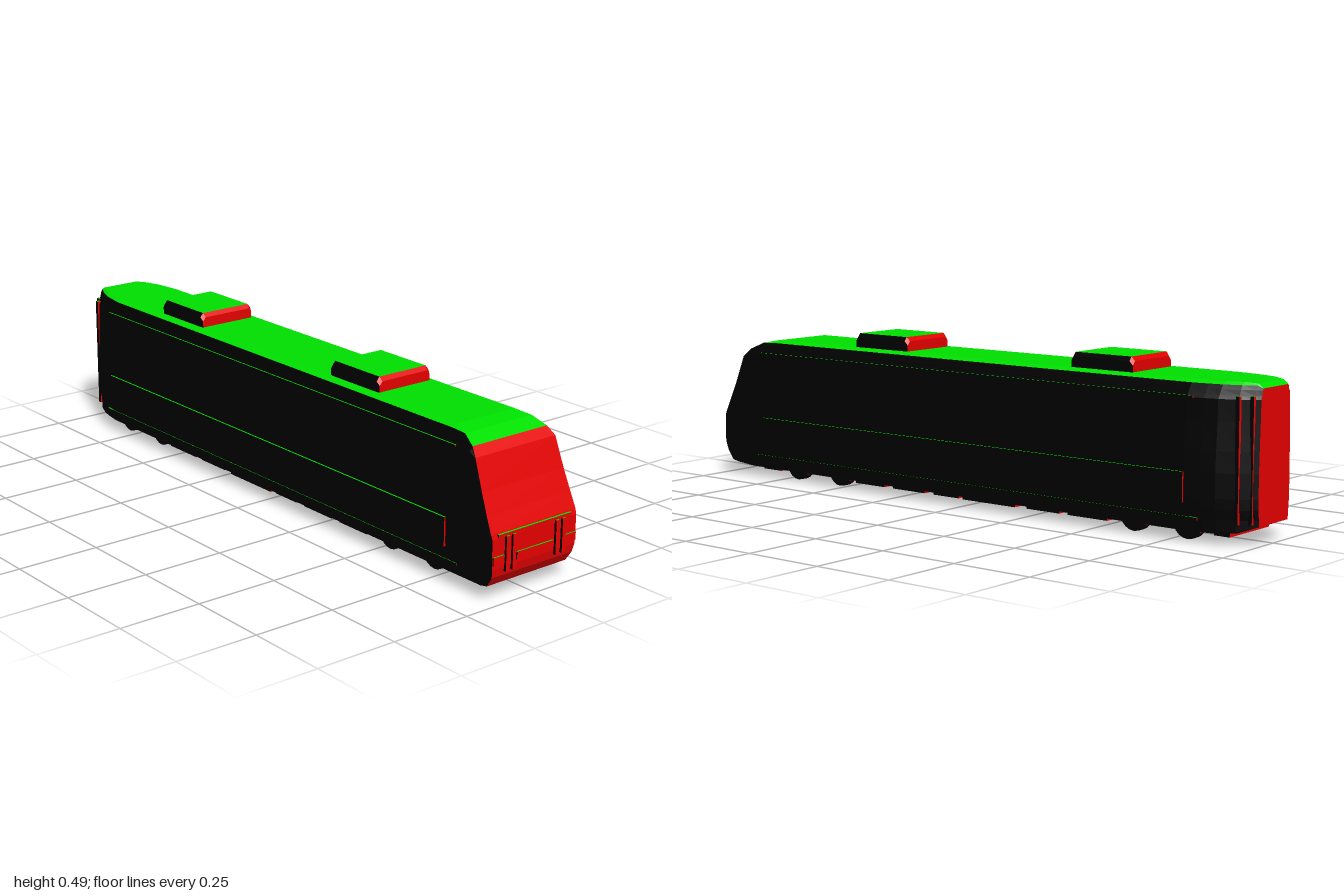
import * as THREE from 'three';

const mat = (name, color) => new THREE.MeshStandardMaterial({ name, color });

// half width of the hull at each height: [y, z]
const PROFILE = [
  [0.022, 0.125], [0.036, 0.135], [0.04, 0.147], [0.072, 0.149], [0.1, 0.155], [0.13, 0.157],
  [0.2, 0.157], [0.26, 0.154], [0.34, 0.149], [0.4, 0.147], [0.41, 0.139], [0.425, 0.131],
  [0.437, 0.121], [0.445, 0.106],
];

function halfWidth(y) {
  for (let i = 1; i < PROFILE.length; i++) {
    const [y0, z0] = PROFILE[i - 1], [y1, z1] = PROFILE[i];
    if (y <= y1) return z0 + (z1 - z0) * Math.max(0, (y - y0) / (y1 - y0));
  }
  return PROFILE[PROFILE.length - 1][1];
}

// hull section clipped between a floor and a top height
function hullRing(bottom, top, scale) {
  const left = PROFILE.map(([y]) => {
    const h = Math.min(top, Math.max(bottom, y));
    return [h, halfWidth(h) * scale];
  });
  return [...left, ...left.slice().reverse().map(([y, z]) => [y, -z])];
}

// skin over closed rings of [y, z] placed along x, with end caps
function loft(sections) {
  const pos = [];
  const n = sections[0].ring.length;
  const at = (i, j) => [sections[i].x, ...sections[i].ring[j % n]];
  for (let i = 0; i < sections.length - 1; i++) {
    for (let j = 0; j < n; j++) {
      const a = at(i, j), b = at(i, j + 1), c = at(i + 1, j + 1), d = at(i + 1, j);
      pos.push(...a, ...d, ...b, ...d, ...c, ...b);
    }
  }
  const last = sections.length - 1;
  for (const end of [0, last]) {
    const ys = sections[end].ring.map((p) => p[0]);
    const mid = [sections[end].x, (Math.min(...ys) + Math.max(...ys)) / 2, 0];
    for (let j = 0; j < n; j++) {
      const a = at(end, j), b = at(end, j + 1);
      if (end === 0) pos.push(...mid, ...a, ...b);
      else pos.push(...mid, ...b, ...a);
    }
  }
  const geo = new THREE.BufferGeometry();
  geo.setAttribute('position', new THREE.Float32BufferAttribute(pos, 3));
  return geo;
}

export function createModel() {
  const model = new THREE.Group();
  model.name = 'railCar';
  const materials = [mat('sideBlack', 0x000000), mat('endRed', 0xe60000), mat('roofGreen', 0x00e000)];

  // each face takes its colour from the way it points: ends, tops, or the rest
  function add(name, geometry, x = 0, y = 0, z = 0) {
    const geo = geometry.index ? geometry.toNonIndexed() : geometry;
    geo.computeVertexNormals();
    geo.clearGroups();
    const nor = geo.attributes.normal;
    let start = 0, current = -1;
    for (let i = 0; i <= nor.count; i += 3) {
      let pick = -2;
      if (i < nor.count) {
        const nx = Math.abs(nor.getX(i)), ny = nor.getY(i), nz = Math.abs(nor.getZ(i));
        pick = nx > Math.abs(ny) && nx > nz ? 1 : ny > 0 && ny >= nz ? 2 : 0;
      }
      if (pick !== current) {
        if (i > start) geo.addGroup(start, i - start, current);
        start = i;
        current = pick;
      }
    }
    const mesh = new THREE.Mesh(geo, materials);
    mesh.name = name;
    mesh.position.set(x, y, z);
    model.add(mesh);
    return mesh;
  }
  const box = (name, w, h, d, x, y, z) => add(name, new THREE.BoxGeometry(w, h, d), x, y, z);

  // hull: x, floor, top, width scale
  const stations = [
    [-1, 0.055, 0.43, 0.5], [-0.985, 0.05, 0.442, 0.57], [-0.95, 0.036, 0.445, 0.73],
    [-0.9, 0.03, 0.445, 0.88], [-0.86, 0.03, 0.445, 0.94], [-0.81, 0.03, 0.445, 1],
    [0.79, 0.03, 0.445, 1], [0.84, 0.03, 0.435, 1], [0.885, 0.03, 0.414, 1],
    [0.908, 0.032, 0.39, 1], [0.94, 0.036, 0.305, 1], [0.965, 0.045, 0.245, 1],
    [0.985, 0.075, 0.2, 1], [0.99, 0.1, 0.185, 0.99],
  ];
  add('hull', loft(stations.map(([x, b, t, s]) => ({ x, ring: hullRing(b, t, s) }))));

  // roof units with chamfered edges
  const unitRing = (top, w) => [
    [0.436, w], [top - 0.012, w], [top, w - 0.01],
    [top, -w + 0.01], [top - 0.012, -w], [0.436, -w],
  ];
  for (const x of [-0.487, 0.352]) {
    add('roofUnit', loft([
      { x: x - 0.107, ring: unitRing(0.476, 0.093) },
      { x: x - 0.097, ring: unitRing(0.488, 0.096) },
      { x: x + 0.097, ring: unitRing(0.488, 0.096) },
      { x: x + 0.107, ring: unitRing(0.476, 0.093) },
    ]));
  }

  for (const side of [-1, 1]) {
    // side belt, cornice and sill strips
    box('sideBelt', 1.62, 0.085, 0.008, 0, 0.155, side * 0.158);
    box('corniceStrip', 1.66, 0.006, 0.004, 0, 0.402, side * 0.146);
    box('sillStrip', 1.7, 0.008, 0.006, 0, 0.07, side * 0.148);

    // front uprights and corner panels
    box('frontUpright', 0.018, 0.1, 0.012, 0.988, 0.138, side * 0.104);
    box('frontUpright', 0.018, 0.1, 0.012, 0.988, 0.138, side * 0.08);
    box('lampPanel', 0.008, 0.024, 0.04, 0.99, 0.124, side * 0.133);

    // columns beside the rear end
    box('rearColumn', 0.012, 0.35, 0.01, -0.982, 0.235, side * 0.086);
    box('rearColumn', 0.012, 0.35, 0.01, -0.952, 0.235, side * 0.11);
  }
  box('frontPanel', 0.009, 0.022, 0.135, 0.99, 0.122, 0);
  box('frontBeam', 0.014, 0.009, 0.27, 0.986, 0.192, 0);

  // wheels
  for (const x of [-0.79, -0.61, 0.525, 0.71]) {
    for (const side of [-1, 1]) {
      const wheel = new THREE.CylinderGeometry(0.048, 0.048, 0.026, 20).rotateX(Math.PI / 2);
      add('wheel', wheel, x, 0.048, side * 0.09);
    }
  }

  // underfloor equipment: x centre, length, half width
  const units = [
    [-0.9, 0.05, 0.1], [-0.7, 0.1, 0.07], [-0.46, 0.14, 0.12], [-0.3, 0.12, 0.12], [-0.1, 0.2, 0.125],
    [0.07, 0.1, 0.12], [0.22, 0.13, 0.12], [0.38, 0.12, 0.12], [0.615, 0.1, 0.07], [0.82, 0.08, 0.11],
  ];
  for (const [x, length, w] of units) box('underfloorUnit', length, 0.02, w * 2, x, 0.031, 0);

  return model;
}
